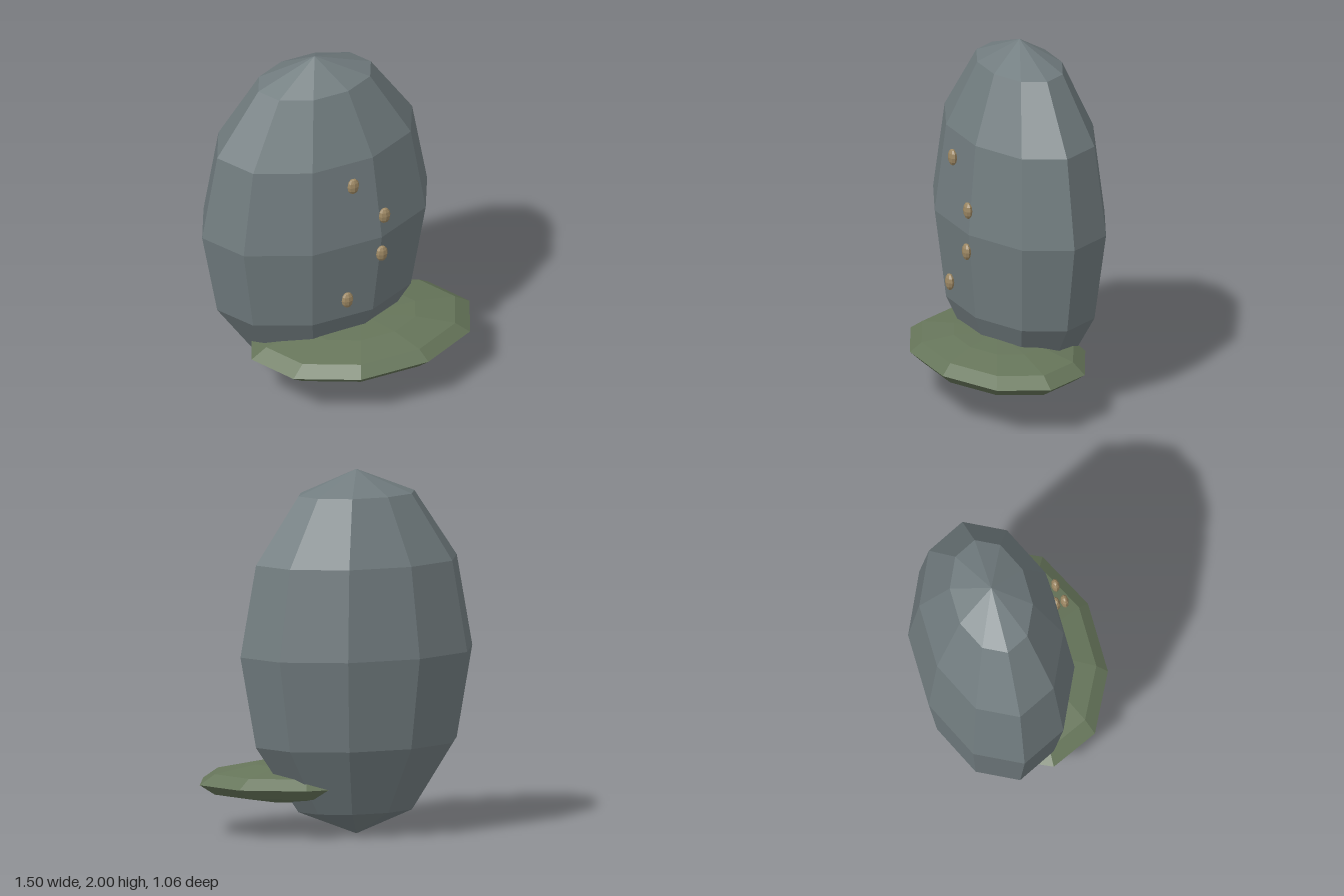
import * as THREE from 'three';

const material = (color) => new THREE.MeshStandardMaterial({ color, flatShading: true });

// Faceted ellipsoid given its centre and three radii
function ellipsoid(name, mat, segments, rings, center, radii) {
  const geometry = new THREE.SphereGeometry(1, segments, rings);
  geometry.scale(...radii);
  const mesh = new THREE.Mesh(geometry, mat);
  mesh.name = name;
  mesh.position.set(...center);
  return mesh;
}

export function createModel() {
  const model = new THREE.Group();
  model.name = 'standingStone';

  // Upright stone and the mossy mound at its foot
  model.add(ellipsoid('stone', material(0x717c7f), 10, 6, [-0.078, 1, -0.12], [0.676, 1, 0.432]));
  model.add(ellipsoid('mossMound', material(0x66755a), 10, 6, [0.095, 0.278, 0.098], [0.655, 0.112, 0.453]));

  // Small pebbles in a wavering column on the front
  const pebbles = new THREE.Group();
  pebbles.name = 'pebbles';
  const tan = material(0x9c8763);
  [[-0.046, 1.395], [0.142, 1.149], [0.126, 0.904], [-0.081, 0.657]].forEach(([x, y], i) => {
    pebbles.add(ellipsoid(`pebble${i + 1}`, tan, 8, 6, [x, y, 0.302], [0.035, 0.048, 0.023]));
  });
  model.add(pebbles);

  return model;
}
